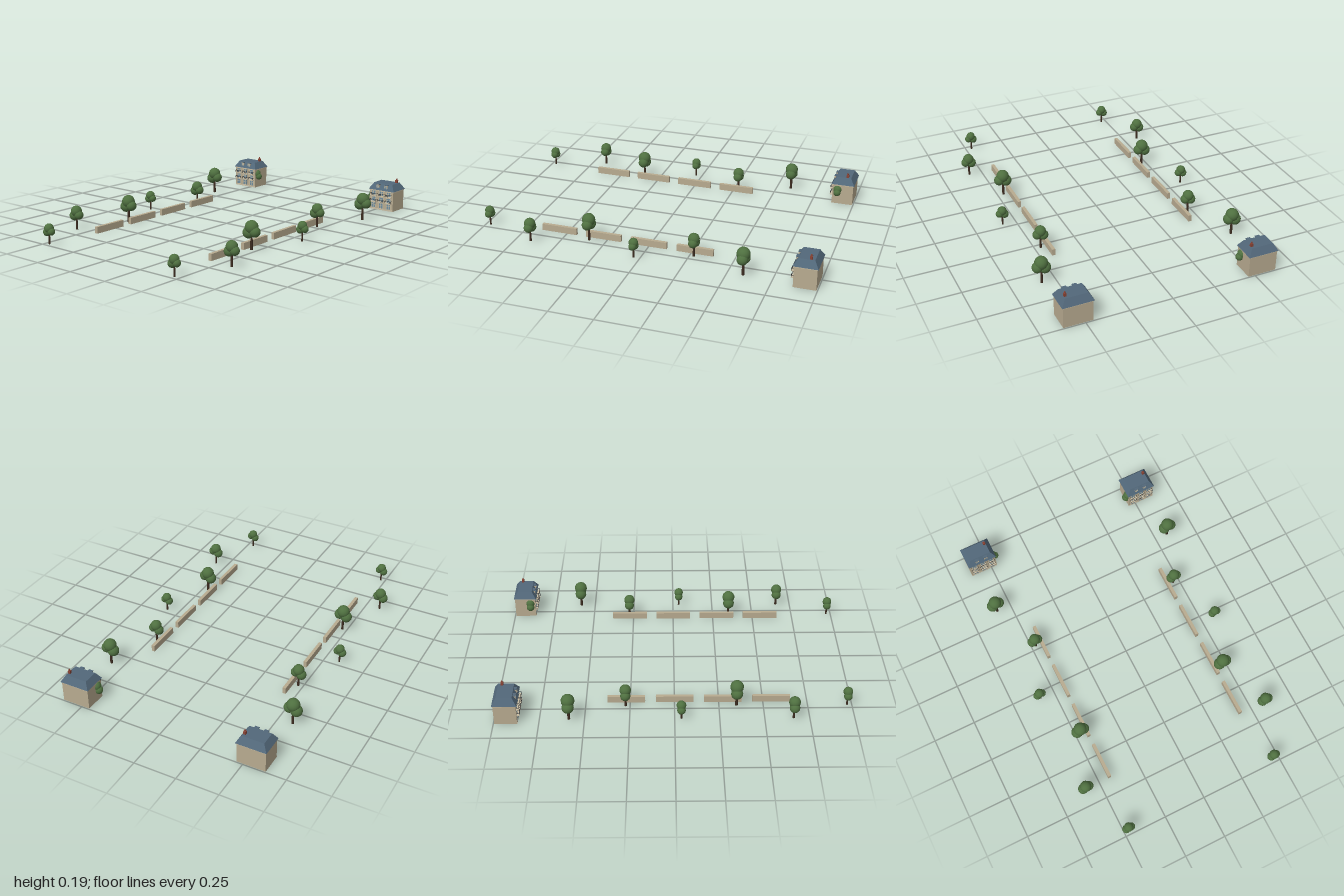
import * as THREE from 'three';

const mat = (color, extra = {}) => new THREE.MeshStandardMaterial({ color, ...extra });
const stone = mat(0xb8ab90), trim = mat(0xc9bea4), slate = mat(0x52687a), glass = mat(0x6f8c9c),
  iron = mat(0x2b2d30), brick = mat(0x8a4435), bark = mat(0x3d2c20), leaf = mat(0x4f7040);

function add(parent, name, geometry, material, x, y, z) {
  const mesh = new THREE.Mesh(geometry, material);
  mesh.name = name;
  mesh.position.set(x, y, z);
  parent.add(mesh);
  return mesh;
}

// Box placed by its bottom centre
function box(parent, name, material, w, h, d, x, y, z) {
  return add(parent, name, new THREE.BoxGeometry(w, h, d), material, x, y + h / 2, z);
}

// Box whose top shrinks by an inset on every side
function mansard(w, h, d, inset) {
  const g = new THREE.BoxGeometry(w, h, d).toNonIndexed();
  const p = g.attributes.position;
  for (let i = 0; i < p.count; i++) {
    if (p.getY(i) > 0) {
      p.setX(i, p.getX(i) - Math.sign(p.getX(i)) * inset);
      p.setZ(i, p.getZ(i) - Math.sign(p.getZ(i)) * inset);
    }
  }
  g.computeVertexNormals();
  return g;
}

// Tree with a trunk and three overlapping leaf balls
function makeTree(scale) {
  const tree = new THREE.Group();
  tree.name = 'tree';
  add(tree, 'trunk', new THREE.CylinderGeometry(0.006, 0.008, 0.09, 8), bark, 0, 0.045, 0);
  const balls = [[0, 0.128, 0, 0.038], [-0.02, 0.095, 0, 0.034], [0.023, 0.104, 0, 0.031]];
  for (const [x, y, z, r] of balls) {
    add(tree, 'foliage', new THREE.SphereGeometry(r, 16, 12), leaf, x, y, z);
  }
  tree.scale.setScalar(scale);
  return tree;
}

// Window with frame, glass and glazing bars
function makeWindow(parent, x, y, z, w, h) {
  box(parent, 'windowFrame', trim, w + 0.006, h + 0.006, 0.003, x, y - 0.003, z);
  box(parent, 'windowGlass', glass, w, h, 0.004, x, y, z + 0.0005);
  box(parent, 'windowBar', trim, 0.002, h, 0.005, x, y, z + 0.0005);
  box(parent, 'windowBar', trim, w, 0.002, 0.005, x, y + h * 0.6, z + 0.0005);
}

// Slab with a thin iron railing
function makeBalcony(parent, x, y, z) {
  const w = 0.042, d = 0.015;
  box(parent, 'balconySlab', trim, w, 0.004, d, x, y, z + d / 2);
  box(parent, 'balconyRail', iron, w, 0.0015, 0.0015, x, y + 0.015, z + d - 0.001);
  for (let i = 0; i <= 6; i++) {
    box(parent, 'balconyBaluster', iron, 0.001, 0.012, 0.001,
      x + (i / 6 - 0.5) * (w - 0.002), y + 0.004, z + d - 0.001);
  }
  for (const s of [-1, 1]) {
    box(parent, 'balconySideRail', iron, 0.0015, 0.0015, d, x + s * (w / 2 - 0.001), y + 0.015, z + d / 2);
  }
}

function makeHouse() {
  const house = new THREE.Group();
  house.name = 'house';
  const front = 0.063;
  box(house, 'walls', stone, 0.168, 0.125, 0.126, 0, 0, 0);
  box(house, 'cornice', trim, 0.174, 0.005, 0.132, 0, 0.121, 0);
  box(house, 'plinth', trim, 0.168, 0.008, 0.003, 0, 0, front);

  // Three floors of windows, with balconies on the upper two
  for (const x of [-0.054, 0, 0.054]) {
    for (const y of [0.012, 0.054, 0.093]) {
      makeWindow(house, x, y, front, 0.026, y < 0.02 ? 0.03 : 0.025);
    }
    makeBalcony(house, x, 0.049, front);
    makeBalcony(house, x, 0.088, front);
  }

  // Sloped roof, dormers and chimney
  add(house, 'roof', mansard(0.18, 0.041, 0.138, 0.025), slate, 0, 0.1465, 0);
  for (const x of [-0.028, 0.028]) {
    box(house, 'dormer', stone, 0.022, 0.025, 0.026, x, 0.134, 0.047);
    box(house, 'dormerRoof', slate, 0.026, 0.004, 0.03, x, 0.159, 0.047);
    makeWindow(house, x, 0.139, 0.06, 0.012, 0.015);
  }
  box(house, 'chimney', brick, 0.014, 0.045, 0.014, 0.056, 0.14, -0.022);
  add(house, 'chimneyPot', new THREE.CylinderGeometry(0.003, 0.004, 0.01, 8), brick, 0.056, 0.19, -0.022);
  return house;
}

export function createModel() {
  const model = new THREE.Group();
  model.name = 'avenue';
  const sizes = [0.71, 1, 0.855];
  for (const side of [-1, 1]) {
    const house = makeHouse();
    house.position.set(side * 0.542, 0, -0.931);
    model.add(house);

    // Staggered row of trees in three repeating sizes
    for (let i = 0; i < 7; i++) {
      const tree = makeTree(sizes[i % 3]);
      tree.position.set(side * (i % 2 ? 0.583 : 0.467), 0, -0.899 + 0.312 * i);
      model.add(tree);
    }

    // Low walls along the inner edge
    for (let i = 0; i < 4; i++) {
      box(model, 'lowWall', stone, 0.019, 0.039, 0.213, side * 0.429, 0, 0.547 - 0.273 * i);
    }
  }
  model.position.x = -0.004;
  const root = new THREE.Group();
  root.add(model);
  return root;
}
